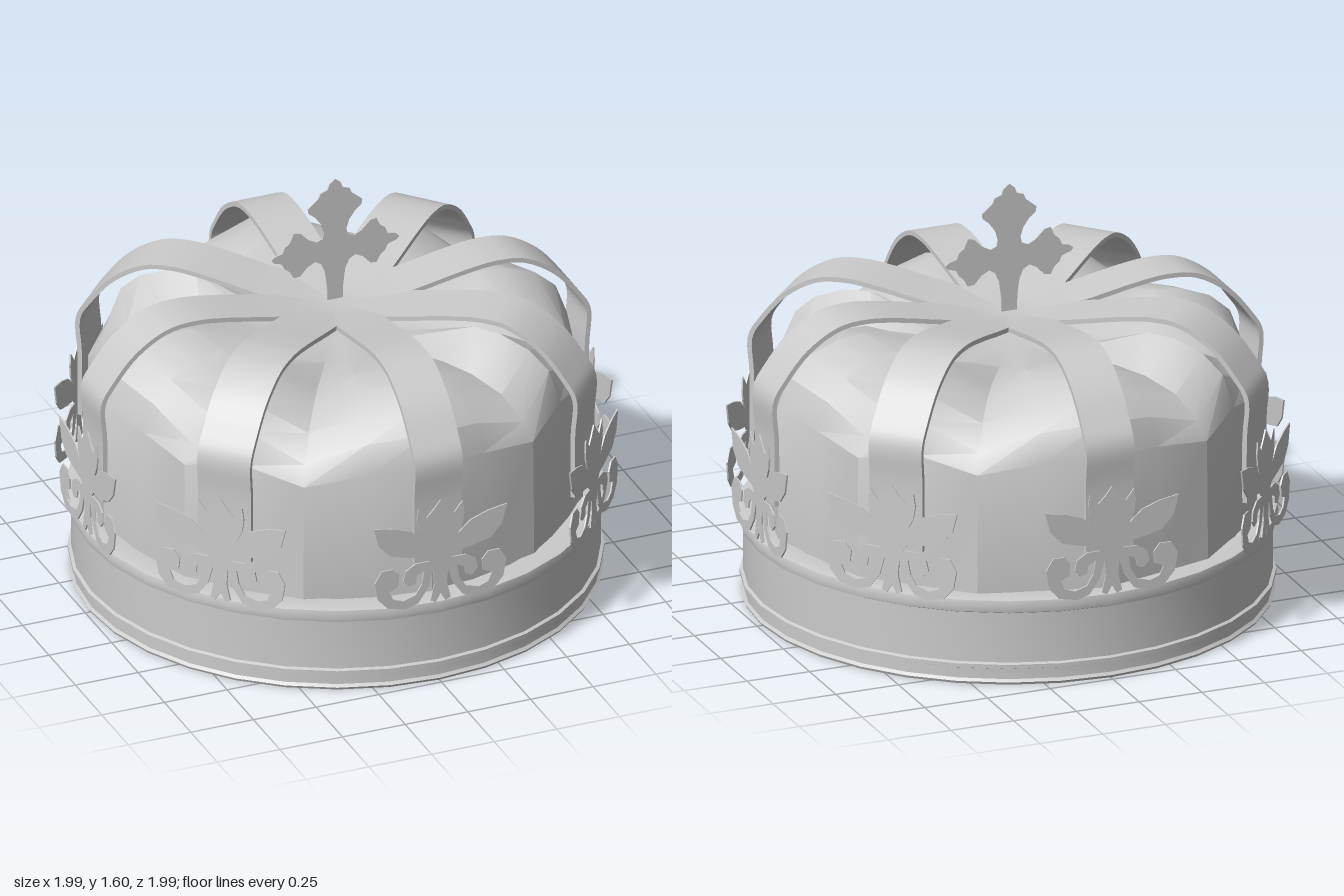
import * as THREE from 'three';
import { toCreasedNormals } from 'three/addons/utils/BufferGeometryUtils.js';

const metal = new THREE.MeshStandardMaterial({ color: 0xcccccc, side: THREE.DoubleSide });
const V2 = (p) => new THREE.Vector2(p[0], p[1]);

function part(parent, name, geometry) {
  const mesh = new THREE.Mesh(geometry, metal);
  mesh.name = name;
  parent.add(mesh);
  return mesh;
}

// Thin plate from the right half of an outline, mirrored across x = 0
function mirroredPlate(half, depth) {
  const left = half.filter((p) => p[0] > 0).reverse().map(([x, y]) => [-x, y]);
  const geometry = new THREE.ExtrudeGeometry(new THREE.Shape([...half, ...left].map(V2)), { depth, bevelEnabled: false });
  return geometry.translate(0, 0, -depth / 2);
}

// Curved strap running from the centre outwards along +x
function archGeometry(width, thickness) {
  const curve = new THREE.SplineCurve([
    [0, 1.1], [0.1, 1.105], [0.3, 1.138], [0.47, 1.17], [0.6, 1.184], [0.72, 1.168],
    [0.84, 1.095], [0.93, 0.99], [0.978, 0.9], [0.97, 0.75], [0.97, 0.5],
  ].map(V2));
  const outer = [], inner = [];
  for (let i = 0; i <= 40; i++) {
    const p = curve.getPoint(i / 40), t = curve.getTangent(i / 40);
    outer.push(p);
    inner.unshift(new THREE.Vector2(p.x + t.y * thickness, p.y - t.x * thickness));
  }
  const geometry = new THREE.ExtrudeGeometry(new THREE.Shape([...outer, ...inner]), { depth: width, bevelEnabled: false });
  return toCreasedNormals(geometry.translate(0, 0, -width / 2), 0.6);
}

// Puffed cap: a lobe under every arch with a valley on either side
function capGeometry() {
  const crest = [[0.92, 0.32], [0.925, 0.85], [0.88, 0.97], [0.8, 1.04], [0.68, 1.085], [0.57, 1.095], [0.3, 1.0], [0, 0.98]];
  const valley = [[0.92, 0.32], [0.915, 0.8], [0.87, 0.87], [0.77, 0.95], [0.63, 0.99], [0.5, 1.0], [0.28, 0.985], [0, 0.98]];
  const puff = [1, 0.7, 0, 1, 0, 0.7]; // every 15 degrees, repeating each quarter
  const sides = 24, positions = [], index = [];
  crest.forEach(([cr, cy], j) => {
    const [vr, vy] = valley[j];
    for (let i = 0; i < sides; i++) {
      const a = (i / sides) * Math.PI * 2, f = puff[i % 6];
      const facet = i % 2 ? Math.cos(Math.PI / 12) : 1; // twelve flat wall panels
      const r = THREE.MathUtils.lerp(vr, cr, f) * facet;
      positions.push(r * Math.sin(a), THREE.MathUtils.lerp(vy, cy, f), r * Math.cos(a) - 0.01);
      if (j === 0) continue;
      const n = (i + 1) % sides, lo = (j - 1) * sides, hi = j * sides;
      index.push(lo + i, lo + n, hi + n);
      if (cr > 0) index.push(lo + i, hi + n, hi + i);
    }
  });
  const geometry = new THREE.BufferGeometry();
  geometry.setAttribute('position', new THREE.Float32BufferAttribute(positions, 3));
  geometry.setIndex(index);
  return toCreasedNormals(geometry, 0.45);
}

export function createModel() {
  const crown = new THREE.Group();
  crown.name = 'crown';

  // Head band with its rolled rim and two beads
  const bandProfile = [
    [0.96, 0], [0.98, 0], [0.985, 0.01], [0.975, 0.02], [0.975, 0.06], [0.987, 0.065], [0.987, 0.08],
    [0.975, 0.085], [0.975, 0.28], [0.99, 0.287], [0.995, 0.31], [0.99, 0.333], [0.97, 0.338],
    [0.9, 0.335], [0.9, 0.315], [0.96, 0.31], [0.96, 0],
  ].map(V2);
  part(crown, 'headBand', toCreasedNormals(new THREE.LatheGeometry(bandProfile, 32), 0.6));

  // Cap and its flat underside
  part(crown, 'cap', capGeometry());
  const lining = part(crown, 'capUnderside', new THREE.CircleGeometry(0.962, 32));
  lining.rotation.x = Math.PI / 2;
  lining.position.y = 0.305;

  // Eight arches, each with a leaf ornament at its foot; the diagonal straps are wider
  const mainArch = archGeometry(0.19, 0.018);
  const diagonalArch = archGeometry(0.215, 0.018);
  const leaf = mirroredPlate([
    [0, 0.757], [0.03, 0.72], [0.055, 0.695], [0.088, 0.737], [0.095, 0.69], [0.088, 0.645], [0.07, 0.605],
    [0.12, 0.65], [0.19, 0.675], [0.265, 0.688], [0.245, 0.61], [0.2, 0.562], [0.13, 0.543],
    [0.06, 0.53], [0.045, 0.51], [0.1, 0.51], [0.14, 0.485], [0.148, 0.445], [0.125, 0.42],
    [0.1, 0.43], [0.095, 0.46], [0.065, 0.475], [0.075, 0.42], [0.1, 0.38], [0.15, 0.365],
    [0.19, 0.38], [0.205, 0.415], [0.17, 0.43], [0.165, 0.475], [0.19, 0.505], [0.235, 0.505],
    [0.262, 0.46], [0.25, 0.39], [0.21, 0.345], [0.14, 0.33], [0.09, 0.345], [0.05, 0.4],
    [0.03, 0.47], [0.025, 0.41], [0.04, 0.345], [0.02, 0.335], [0, 0.37],
  ], 0.006);
  const diagonal = THREE.MathUtils.degToRad(47.8);
  const angles = [0, diagonal, Math.PI / 2, Math.PI - diagonal];
  [...angles, ...angles.map((a) => a + Math.PI)].forEach((a, i) => {
    part(crown, 'arch', i % 2 ? diagonalArch : mainArch).rotation.y = a - Math.PI / 2;
    const radius = i % 2 ? 1.004 : 0.99;
    const ornament = part(crown, 'leafOrnament', leaf);
    ornament.rotation.y = a;
    ornament.position.set(Math.sin(a) * radius, 0, Math.cos(a) * radius);
  });

  // Flat cross with lobed arms
  const cross = mirroredPlate([
    [0, 1.6], [0.022, 1.582], [0.03, 1.56], [0.058, 1.55], [0.066, 1.53], [0.108, 1.495], [0.105, 1.475],
    [0.08, 1.455], [0.055, 1.42], [0.045, 1.385], [0.05, 1.36], [0.075, 1.35], [0.105, 1.365], [0.14, 1.4],
    [0.165, 1.405], [0.18, 1.37], [0.2, 1.355], [0.21, 1.33], [0.235, 1.325], [0.245, 1.32], [0.255, 1.31],
    [0.245, 1.298], [0.21, 1.287], [0.2, 1.265], [0.178, 1.245], [0.165, 1.22], [0.14, 1.222], [0.11, 1.255],
    [0.08, 1.27], [0.055, 1.255], [0.04, 1.22], [0.032, 1.16], [0.03, 1.09], [0, 1.09],
  ], 0.006);
  part(crown, 'cross', cross).position.z = -0.01;

  return crown;
}
